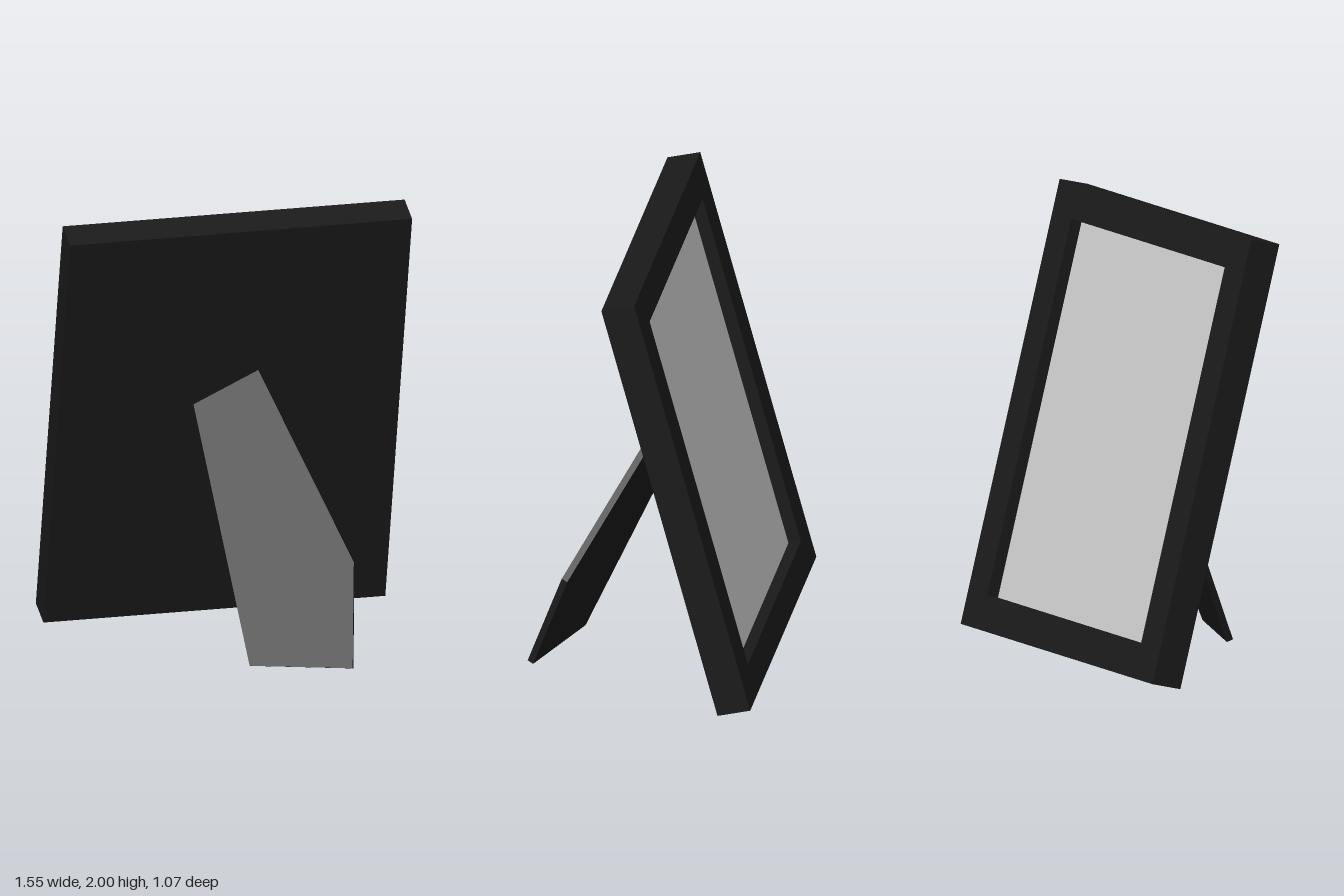
import * as THREE from 'three';

const black = new THREE.MeshStandardMaterial({ color: 0x1a1a1a, flatShading: true });
const grey = new THREE.MeshStandardMaterial({ color: 0xcccccc });

function addMesh(parent, name, geometry, material) {
  const mesh = new THREE.Mesh(geometry, material);
  mesh.name = name;
  parent.add(mesh);
  return mesh;
}

function rectangle(Type, w, h) {
  return new Type([[-w, -h], [w, -h], [w, h], [-w, h]].map(([x, y]) => new THREE.Vector2(x / 2, y / 2)));
}

// Tilted picture frame, its picture on the -z side
function createFrame() {
  const width = 1.555, height = 2.023, depth = 0.153, border = 0.155, recess = 0.06;
  const openW = width - 2 * border, openH = height - 2 * border;
  const frame = new THREE.Group();
  frame.name = 'pictureFrame';

  const outline = rectangle(THREE.Shape, width, height);
  outline.holes.push(rectangle(THREE.Path, openW, openH));
  const moulding = new THREE.ExtrudeGeometry(outline, { depth, bevelEnabled: false });
  addMesh(frame, 'moulding', moulding.translate(0, 0, -depth / 2), black);

  // Board closing the rear of the frame, flush with the moulding
  const boardDepth = depth - recess;
  const board = addMesh(frame, 'backBoard', new THREE.BoxGeometry(openW, openH, boardDepth), black);
  board.position.z = depth / 2 - boardDepth / 2;

  const picture = addMesh(frame, 'picture', new THREE.PlaneGeometry(openW, openH), grey);
  picture.rotation.y = Math.PI;
  picture.position.z = -depth / 2 + recess - 0.002;

  frame.rotation.x = THREE.MathUtils.degToRad(15);
  frame.position.set(0, 1.005, -0.201);
  return frame;
}

// Angled easel leg: a flat outline extruded in its own leaning plane
function createStand(parent) {
  const thickness = 0.03;
  const foot = new THREE.Vector3(0.413, 0.018, 0.537);
  const normal = new THREE.Vector3(-0.317, 0.355, 0.88).normalize();
  const u = new THREE.Vector3(0.88, 0, 0.317).normalize();
  const v = new THREE.Vector3().crossVectors(normal, u);

  // Front-view corners; the top pair runs slightly into the back board
  const corners = [[-0.02, 0.012], [0.413, 0.018], [0.456, 0.458], [0.104, 1.281], [-0.169, 1.135]];
  const outline = corners.map(([x, y]) => {
    const dx = x - foot.x, dy = y - foot.y;
    const p = new THREE.Vector3(dx, dy, -(normal.x * dx + normal.y * dy) / normal.z);
    return new THREE.Vector2(p.dot(u), p.dot(v));
  });
  const leg = new THREE.ExtrudeGeometry(new THREE.Shape(outline), { depth: thickness, bevelEnabled: false });
  leg.translate(0, 0, -thickness);
  leg.applyMatrix4(new THREE.Matrix4().makeBasis(u, v, normal).setPosition(foot));
  addMesh(parent, 'standLeg', leg, black);
}

export function createModel() {
  const model = new THREE.Group();
  model.name = 'standingPictureFrame';
  model.add(createFrame());
  createStand(model);
  return model;
}
